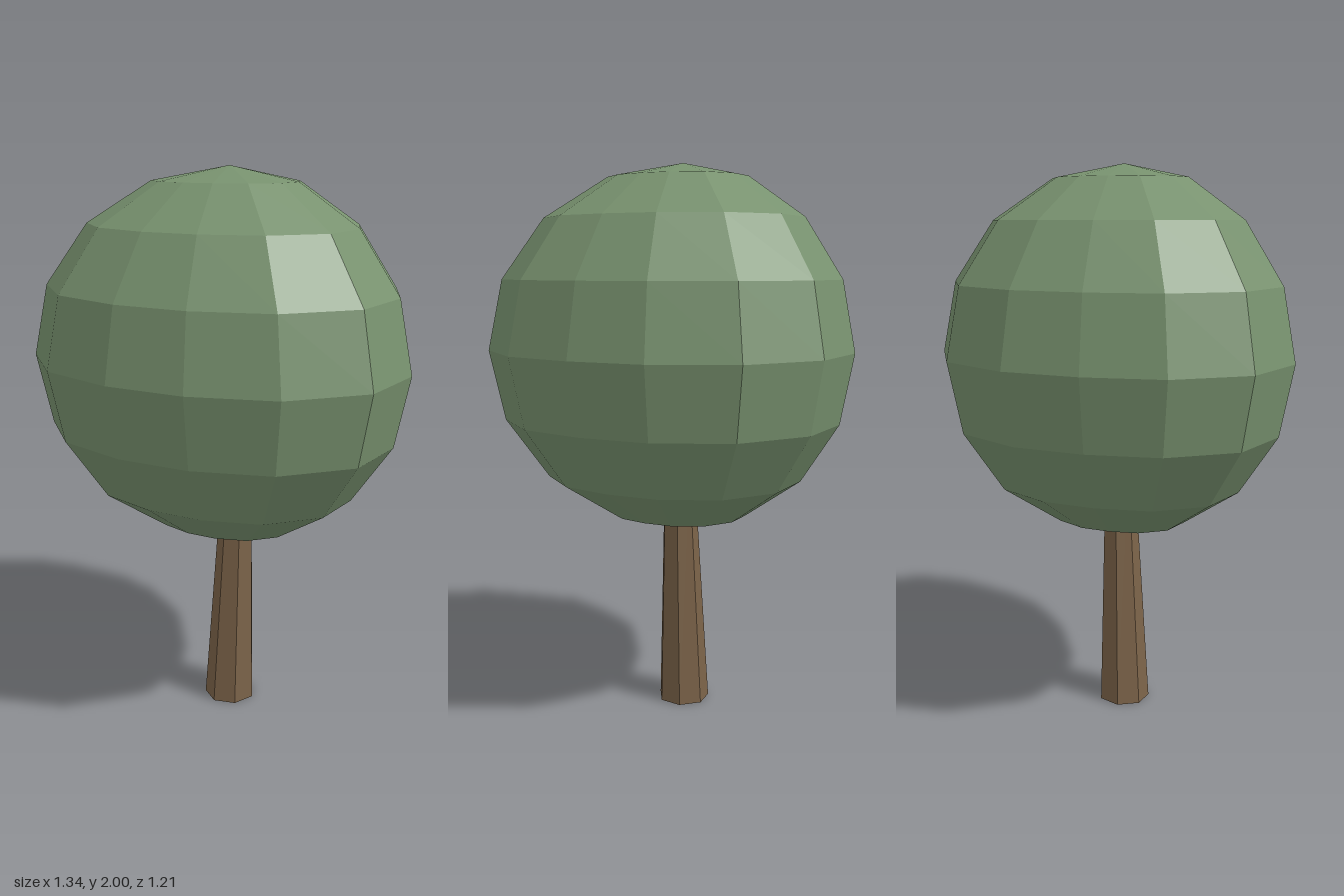
import * as THREE from 'three';

const foliage = new THREE.MeshStandardMaterial({ color: 0x78926f, flatShading: true });
foliage.name = 'foliageGreen';
const bark = new THREE.MeshStandardMaterial({ color: 0x7b6349, flatShading: true });
bark.name = 'barkBrown';

// Crown: one uneven 14-sided outline, scaled ring by ring like a sphere
function crownGeometry() {
  const half = [[0.155, -0.61], [0.41, -0.45], [0.57, -0.225], [0.672, 0.028], [0.642, 0.31], [0.43, 0.52], [0.142, 0.603]];
  const outline = [...half, ...half.slice().reverse().map(([x, z]) => [-x, z])];
  const n = outline.length, levels = 8, midY = 1.343, radiusY = 0.657, midZ = 0.028;
  const point = (level, j) => {
    const angle = (level / levels) * Math.PI, s = Math.sin(angle);
    const [x, z] = outline[j % n];
    return [x * s, midY + radiusY * Math.cos(angle), midZ + (z - midZ) * s];
  };
  const pos = [];
  for (let i = 0; i < levels; i++) {
    for (let j = 0; j < n; j++) {
      const a = point(i, j), b = point(i, j + 1), c = point(i + 1, j), d = point(i + 1, j + 1);
      if (i > 0) pos.push(...a, ...b, ...c);
      if (i < levels - 1) pos.push(...b, ...d, ...c);
    }
  }
  const geo = new THREE.BufferGeometry();
  geo.setAttribute('position', new THREE.Float32BufferAttribute(pos, 3));
  geo.computeVertexNormals();
  return geo;
}

// Trunk: seven-sided taper, leaning slightly, its top buried in the crown
function trunkGeometry() {
  const height = 0.9, geo = new THREE.CylinderGeometry(0.057, 0.096, height, 7, 1, false, Math.PI / 2);
  geo.translate(0, height / 2, 0);
  const p = geo.attributes.position;
  for (let i = 0; i < p.count; i++) {
    const t = p.getY(i) / height;
    p.setX(i, p.getX(i) + 0.025 * t);
    p.setZ(i, p.getZ(i) + 0.03 - 0.013 * t);
  }
  geo.computeVertexNormals();
  return geo;
}

export function createModel() {
  const tree = new THREE.Group();
  tree.name = 'tree';
  const crown = new THREE.Mesh(crownGeometry(), foliage);
  crown.name = 'crown';
  const trunk = new THREE.Mesh(trunkGeometry(), bark);
  trunk.name = 'trunk';
  tree.add(crown, trunk);
  return tree;
}
